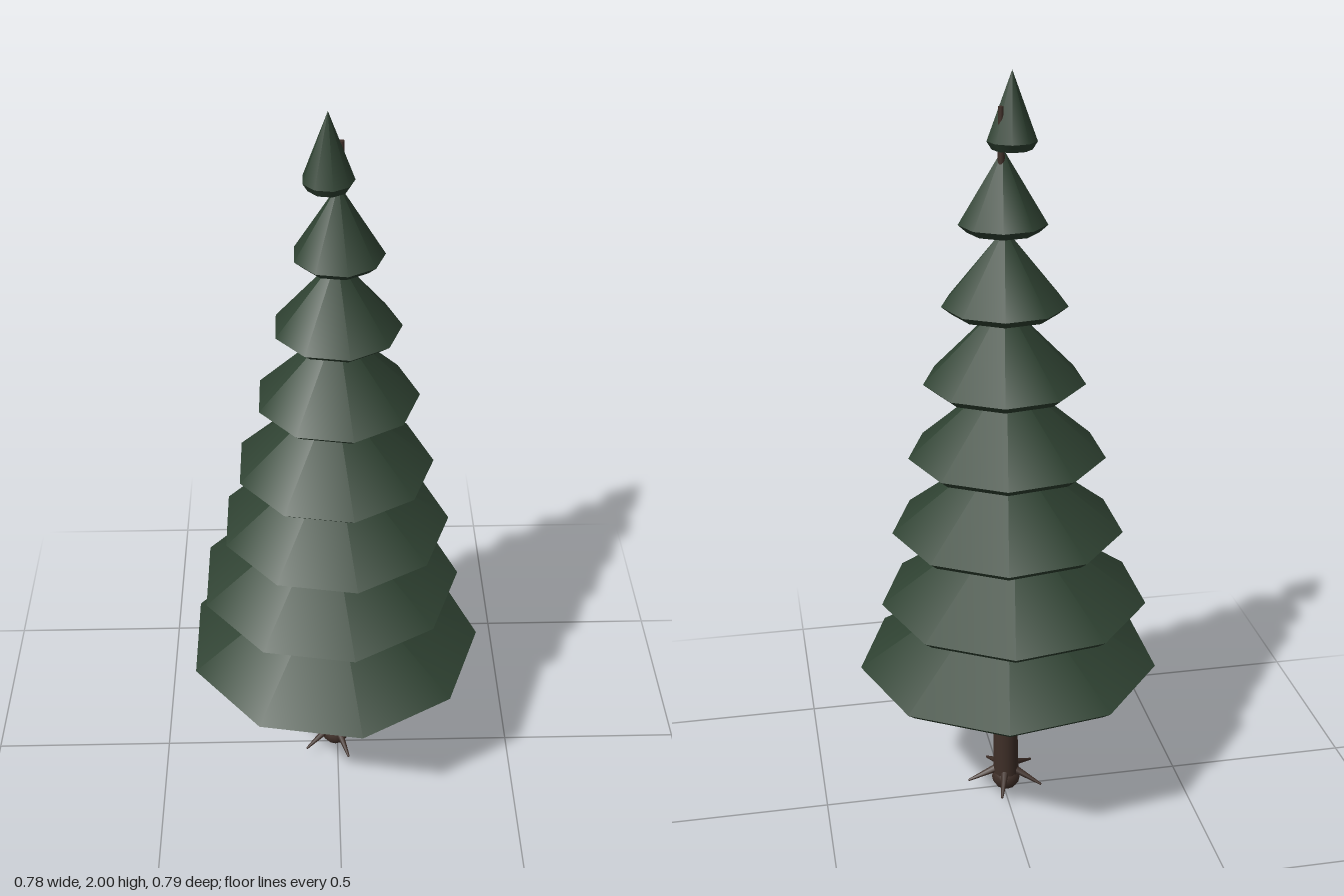
import * as THREE from 'three';

const needleGreen = new THREE.MeshStandardMaterial({ color: 0x2f4232 });
needleGreen.name = 'needleGreen';
const barkBrown = new THREE.MeshStandardMaterial({ color: 0x3f2f28 });
barkBrown.name = 'barkBrown';

// Each tier: centre x, centre z, rim radius, rim height, cone height
const TIERS = [
  [-0.012, 0, 0.402, 0.433, 0.27],
  [-0.022, -0.027, 0.352, 0.634, 0.255],
  [-0.007, -0.018, 0.303, 0.835, 0.24],
  [-0.008, -0.005, 0.256, 1.036, 0.225],
  [0, -0.013, 0.207, 1.237, 0.21],
  [0, -0.016, 0.159, 1.438, 0.19],
  [0.003, -0.009, 0.111, 1.639, 0.18],
  [-0.021, 0.001, 0.062, 1.835, 0.165],
];

function add(parent, name, geometry, material) {
  const mesh = new THREE.Mesh(geometry, material);
  mesh.name = name;
  parent.add(mesh);
  return mesh;
}

// Nine-sided cone with a short undercut skirt below its sharp rim
function makeTier([x, z, radius, rimY, height], index) {
  const tier = new THREE.Group();
  tier.name = `foliageTier${index + 1}`;
  const drop = 0.02;
  const inset = Math.min(0.025, radius * 0.2);
  const start = Math.PI / 2;
  const cone = new THREE.CylinderGeometry(0, radius, height, 9, 1, true, start);
  cone.translate(0, height / 2, 0);
  add(tier, 'needles', cone, needleGreen);
  const skirt = new THREE.CylinderGeometry(radius, radius - inset, drop, 9, 1, false, start);
  skirt.translate(0, -drop / 2, 0);
  add(tier, 'underside', skirt, needleGreen);
  tier.position.set(x, rimY, z);
  return tier;
}

// Tapered trunk, fluted like bark and leaning slightly toward its tip
function makeTrunk() {
  const bottom = 0.04, top = 1.92;
  const geo = new THREE.CylinderGeometry(0.007, 0.038, top - bottom, 18, 6);
  geo.translate(0, (top + bottom) / 2, 0);
  const p = geo.attributes.position;
  for (let i = 0; i < p.count; i++) {
    const t = (p.getY(i) - bottom) / (top - bottom);
    const angle = Math.atan2(p.getZ(i), p.getX(i));
    const flute = 0.94 + 0.08 * Math.cos(angle * 9);
    p.setX(i, p.getX(i) * flute - 0.006 + 0.016 * t);
    p.setZ(i, p.getZ(i) * flute - 0.006 - 0.014 * t);
  }
  geo.computeVertexNormals();
  return geo;
}

// Tapered root running from the trunk down to its tip
function makeRoot(angle) {
  const c = Math.cos(angle), s = Math.sin(angle);
  const from = new THREE.Vector3(c * 0.02, 0.07, s * 0.02);
  const to = new THREE.Vector3(c * 0.108, 0.037, s * 0.108);
  const dir = to.clone().sub(from);
  const geo = new THREE.CylinderGeometry(0.003, 0.012, dir.length(), 6);
  geo.applyQuaternion(new THREE.Quaternion().setFromUnitVectors(
    new THREE.Vector3(0, 1, 0), dir.clone().normalize()));
  geo.translate((from.x + to.x) / 2 - 0.006, (from.y + to.y) / 2, (from.z + to.z) / 2 - 0.004);
  return geo;
}

export function createModel() {
  const tree = new THREE.Group();
  tree.name = 'coniferTree';

  add(tree, 'trunk', makeTrunk(), barkBrown);

  // Rounded foot of the trunk
  add(tree, 'trunkBase', new THREE.SphereGeometry(0.04, 12, 8), barkBrown)
    .position.set(-0.006, 0.041, -0.006);

  const roots = new THREE.Group();
  roots.name = 'roots';
  for (let i = 0; i < 5; i++) {
    add(roots, `root${i + 1}`, makeRoot((i * 72 - 2) * Math.PI / 180), barkBrown);
  }
  tree.add(roots);

  const foliage = new THREE.Group();
  foliage.name = 'foliage';
  TIERS.forEach((t, i) => foliage.add(makeTier(t, i)));
  tree.add(foliage);

  return tree;
}
